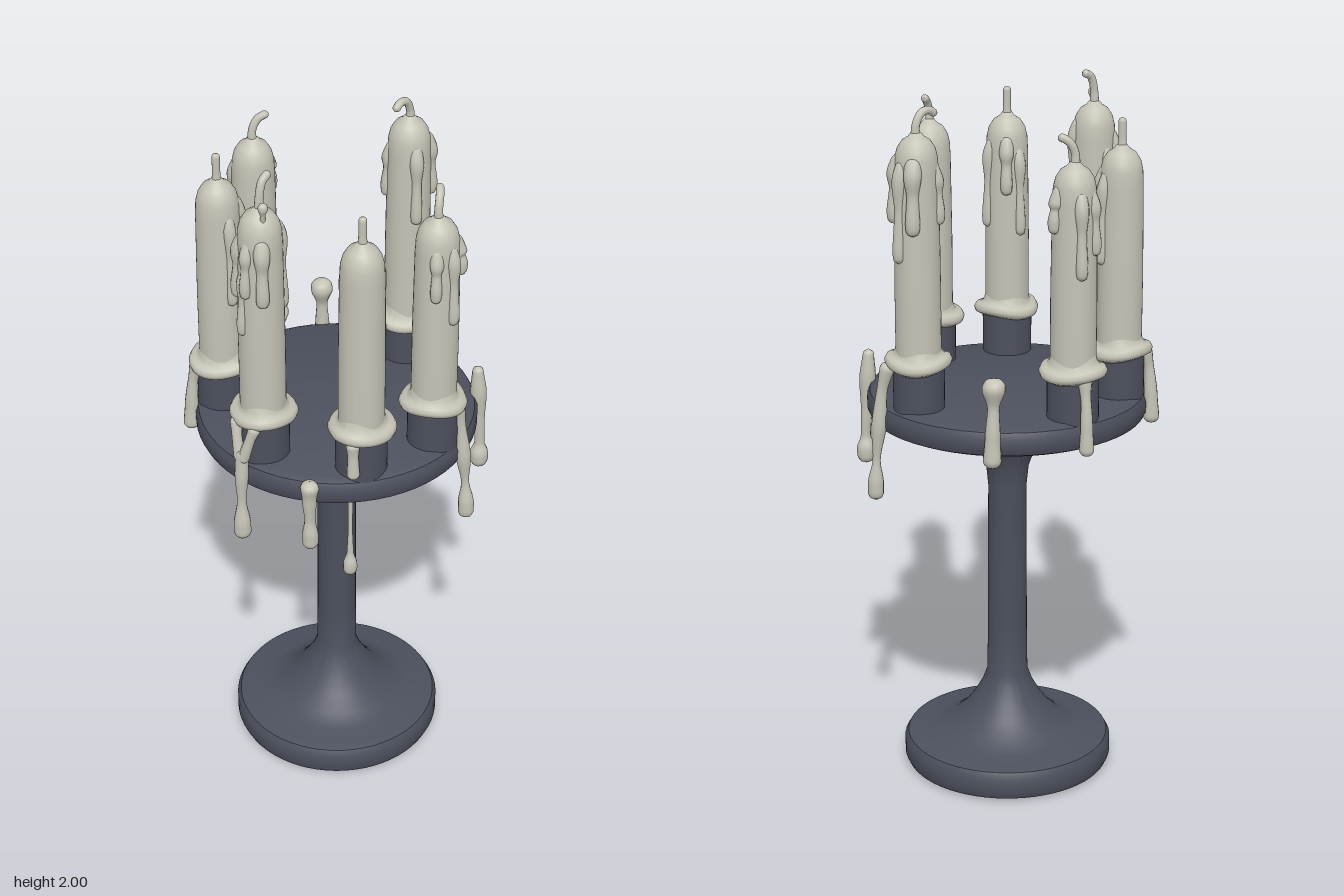
import * as THREE from 'three';
import { mergeVertices, toCreasedNormals } from 'three/addons/utils/BufferGeometryUtils.js';

const iron = new THREE.MeshStandardMaterial({ color: 0x4c505d });
iron.name = 'dark iron';
const wax = new THREE.MeshStandardMaterial({ color: 0xc5c3b5 });
wax.name = 'pale wax';

function add(parent, name, geometry, material) {
  const mesh = new THREE.Mesh(geometry, material);
  mesh.name = name;
  parent.add(mesh);
  return mesh;
}

function lathe(profile, segments) {
  return new THREE.LatheGeometry(profile.map(([r, y]) => new THREE.Vector2(r, y)), segments);
}

// Round-ended strand of wax through points [x, y, z, radius]
function strand(points, segments = 30, sides = 12) {
  const curve = new THREE.CatmullRomCurve3(points.map(p => new THREE.Vector3(p[0], p[1], p[2])));
  const length = curve.getLength();
  const geo = new THREE.TubeGeometry(curve, segments, 1, sides);
  const pos = geo.attributes.position;
  const v = new THREE.Vector3();
  for (let i = 0; i <= segments; i++) {
    const u = i / segments;
    const centre = curve.getPointAt(u);
    const t = curve.getUtoTmapping(u) * (points.length - 1);
    const k = Math.min(Math.floor(t), points.length - 2);
    let r = THREE.MathUtils.lerp(points[k][3], points[k + 1][3], THREE.MathUtils.smoothstep(t - k, 0, 1));
    const end = Math.min(u, 1 - u) * length;
    if (end < r) r *= Math.sqrt(Math.max(0, 1 - (1 - end / r) ** 2));
    r = Math.max(r, 0.0005);
    for (let j = 0; j <= sides; j++) {
      const n = i * (sides + 1) + j;
      v.fromBufferAttribute(pos, n).sub(centre).multiplyScalar(r).add(centre);
      pos.setXYZ(n, v.x, v.y, v.z);
    }
  }
  geo.deleteAttribute('uv');
  geo.deleteAttribute('normal');
  const smooth = mergeVertices(geo, 1e-5);
  smooth.computeVertexNormals();
  return smooth;
}

// Drip clinging to the candle side: angle in degrees from the front, towards +x
function candleDrip([deg, top, bottom, r]) {
  const a = THREE.MathUtils.degToRad(deg);
  const at = (d, y, radius) => [Math.sin(a) * d, y, Math.cos(a) * d, radius];
  const mid = (top + bottom) / 2;
  return strand([at(0.036, top, r), at(0.054, top - 0.05, r * 1.1), at(0.056, mid, r * 0.75),
    at(0.06, bottom + 0.035, r * 0.9), at(0.059, bottom, r * 0.8)]);
}

// Uneven collar of melted wax around the candle foot
function collarGeometry(seed) {
  const geo = lathe([[0.05, 1.262], [0.074, 1.26], [0.088, 1.268], [0.092, 1.28], [0.086, 1.292],
    [0.072, 1.295], [0.064, 1.305], [0.058, 1.33]], 40);
  const pos = geo.attributes.position;
  for (let i = 0; i < pos.count; i++) {
    const x = pos.getX(i), z = pos.getZ(i), a = Math.atan2(x, z);
    const s = 1 + 0.03 * Math.sin(3 * a + seed);
    pos.setXYZ(i, x * s, pos.getY(i) + 0.005 * Math.sin(2 * a + seed * 2), z * s);
  }
  geo.computeVertexNormals();
  return geo;
}

function makeCandle({ name, x, z, top, wick, drips }, index) {
  const g = new THREE.Group();
  g.name = name;
  g.position.set(x, 0, z);
  add(g, 'holderCup', new THREE.CylinderGeometry(0.07, 0.07, 0.14, 36), iron).position.y = 1.205;
  add(g, 'waxCollar', collarGeometry(index * 1.7), wax);
  add(g, 'candleBody', lathe([[0.062, 1.27], [0.062, 1.5], [0.059, top - 0.1], [0.057, top - 0.06], [0.051, top - 0.035],
    [0.038, top - 0.014], [0.022, top - 0.004], [0.014, top + 0.006], [0, top + 0.012]], 36), wax);
  add(g, 'wick', strand(wick.map(([dx, dy, dz], i) => [dx, top + dy, dz, i ? 0.011 : 0.014])), wax);
  drips.forEach(d => add(g, 'candleDrip', candleDrip(d), wax));
  return g;
}

const straightWick = [[0, -0.02, 0], [0, 0.03, 0], [0, 0.08, 0]];
const leaningWick = s => [[0, -0.02, 0], [0, 0.03, 0], [-s * 0.008, 0.06, -0.014], [-s * 0.026, 0.075, -0.036]];

const candles = [
  { name: 'frontCandle', x: 0, z: 0.305, top: 1.9,
    wick: [[0, -0.02, 0], [0, 0.04, -0.002], [0, 0.075, -0.014], [0, 0.09, -0.042]],
    drips: [[0, 1.83, 1.66, 0.017], [46, 1.84, 1.64, 0.02], [312, 1.83, 1.64, 0.02], [345, 1.75, 1.54, 0.016],
      [152, 1.86, 1.59, 0.018], [270, 1.8, 1.68, 0.016]] },
  { name: 'backCandle', x: 0, z: -0.305, top: 1.9,
    wick: [[0, -0.02, 0], [0, 0.025, 0], [0, 0.055, 0.018], [0, 0.06, 0.042], [0, 0.045, 0.066]],
    drips: [[223, 1.85, 1.64, 0.022], [139, 1.85, 1.66, 0.022], [180, 1.84, 1.56, 0.019],
      [310, 1.83, 1.66, 0.018], [60, 1.84, 1.6, 0.018]] },
  { name: 'leftCandle', x: 0.315, z: -0.027, top: 1.84, wick: leaningWick(1),
    drips: [[131, 1.79, 1.67, 0.021], [86, 1.78, 1.54, 0.018], [36, 1.78, 1.62, 0.017], [190, 1.78, 1.6, 0.016]] },
  { name: 'rightCandle', x: -0.315, z: -0.027, top: 1.84, wick: leaningWick(-1),
    drips: [[170, 1.79, 1.66, 0.02], [250, 1.78, 1.54, 0.018], [297, 1.78, 1.6, 0.018]] },
  { name: 'frontLeftCandle', x: 0.246, z: 0.194, top: 1.84, wick: straightWick,
    drips: [[230, 1.79, 1.62, 0.019], [270, 1.76, 1.5, 0.017], [167, 1.78, 1.52, 0.018]] },
  { name: 'frontRightCandle', x: -0.246, z: 0.194, top: 1.84, wick: straightWick,
    drips: [[139, 1.79, 1.62, 0.019], [75, 1.76, 1.48, 0.017], [171, 1.78, 1.52, 0.018]] },
];

// Wax running off the collars and the plate edge: [x, y, z, radius]
const hangingDrips = {
  frontRunLeft: [[0.035, 1.28, 0.375, 0.018], [0.022, 1.23, 0.388, 0.014], [0.004, 1.16, 0.398, 0.016]],
  frontRunRight: [[-0.035, 1.28, 0.375, 0.018], [-0.022, 1.23, 0.388, 0.014], [-0.004, 1.16, 0.398, 0.016]],
  frontLongDrip: [[0, 1.2, 0.392, 0.018], [0, 1.12, 0.398, 0.019], [0, 1.03, 0.4, 0.013], [0, 0.95, 0.4, 0.024], [0, 0.905, 0.4, 0.025]],
  backLongDrip: [[0.04, 1.28, -0.375, 0.022], [0.055, 1.2, -0.388, 0.015], [0.062, 1.1, -0.395, 0.021],
    [0.067, 1.0, -0.402, 0.011], [0.07, 0.93, -0.404, 0.022], [0.07, 0.88, -0.404, 0.022]],
  leftLongDrip: [[0.37, 1.28, -0.055, 0.023], [0.383, 1.2, -0.062, 0.014], [0.39, 1.1, -0.068, 0.021],
    [0.396, 1.01, -0.073, 0.011], [0.4, 0.94, -0.075, 0.022], [0.4, 0.89, -0.075, 0.022]],
  rightDrip: [[-0.375, 1.28, -0.04, 0.022], [-0.388, 1.22, -0.043, 0.014], [-0.395, 1.14, -0.045, 0.017], [-0.396, 1.06, -0.045, 0.021]],
  frontRightDrip: [[-0.285, 1.28, 0.25, 0.022], [-0.295, 1.22, 0.262, 0.014], [-0.3, 1.14, 0.266, 0.019], [-0.302, 1.06, 0.268, 0.023]],
  frontLeftShortDrip: [[0.275, 1.28, 0.265, 0.02], [0.277, 1.23, 0.266, 0.015], [0.279, 1.16, 0.267, 0.018]],
  edgeDripFrontLeft: [[0.19, 1.15, 0.34, 0.028], [0.188, 1.09, 0.34, 0.02], [0.188, 1.02, 0.338, 0.015],
    [0.188, 0.97, 0.337, 0.022], [0.188, 0.925, 0.337, 0.022]],
  edgeDripBackLeft: [[0.28, 1.235, -0.272, 0.015], [0.283, 1.15, -0.275, 0.023], [0.287, 1.05, -0.278, 0.016],
    [0.29, 0.98, -0.28, 0.014], [0.29, 0.94, -0.28, 0.026], [0.29, 0.895, -0.28, 0.024]],
  edgeDripBackRight: [[-0.276, 1.295, -0.265, 0.036], [-0.276, 1.265, -0.265, 0.032], [-0.278, 1.21, -0.268, 0.016],
    [-0.28, 1.13, -0.272, 0.021], [-0.28, 1.045, -0.274, 0.026]],
  underplateDrip: [[0.19, 1.09, 0.17, 0.018], [0.19, 1.02, 0.17, 0.008], [0.19, 0.9, 0.17, 0.006],
    [0.19, 0.81, 0.17, 0.009], [0.19, 0.765, 0.17, 0.02], [0.19, 0.73, 0.17, 0.02]],
  wickDroplet: [[0.026, 1.87, 0.321, 0.007], [0.03, 1.9, 0.326, 0.007], [0.032, 1.922, 0.327, 0.013], [0.032, 1.938, 0.327, 0.013]],
};

export function createModel() {
  const model = new THREE.Group();
  model.name = 'candelabrum';

  // Foot, stem and plate turned in one piece
  const stand = lathe([[0, 0.035], [0.12, 0.03], [0.18, 0.015], [0.22, 0.004], [0.27, 0], [0.29, 0.008], [0.298, 0.025], [0.298, 0.07],
    [0.288, 0.088], [0.265, 0.095], [0.21, 0.1], [0.165, 0.122], [0.125, 0.16], [0.095, 0.2], [0.072, 0.242], [0.058, 0.28],
    [0.056, 0.4], [0.054, 0.85], [0.06, 0.91], [0.078, 0.96], [0.105, 1.005], [0.135, 1.04], [0.17, 1.068],
    [0.365, 1.07], [0.382, 1.078], [0.39, 1.095], [0.39, 1.125], [0.382, 1.142], [0.365, 1.15], [0, 1.15]], 64);
  add(model, 'stand', toCreasedNormals(stand, 0.6), iron);

  candles.forEach((c, i) => model.add(makeCandle(c, i)));

  const drips = new THREE.Group();
  drips.name = 'hangingDrips';
  for (const [name, points] of Object.entries(hangingDrips)) add(drips, name, strand(points, 44), wax);
  model.add(drips);
  return model;
}
